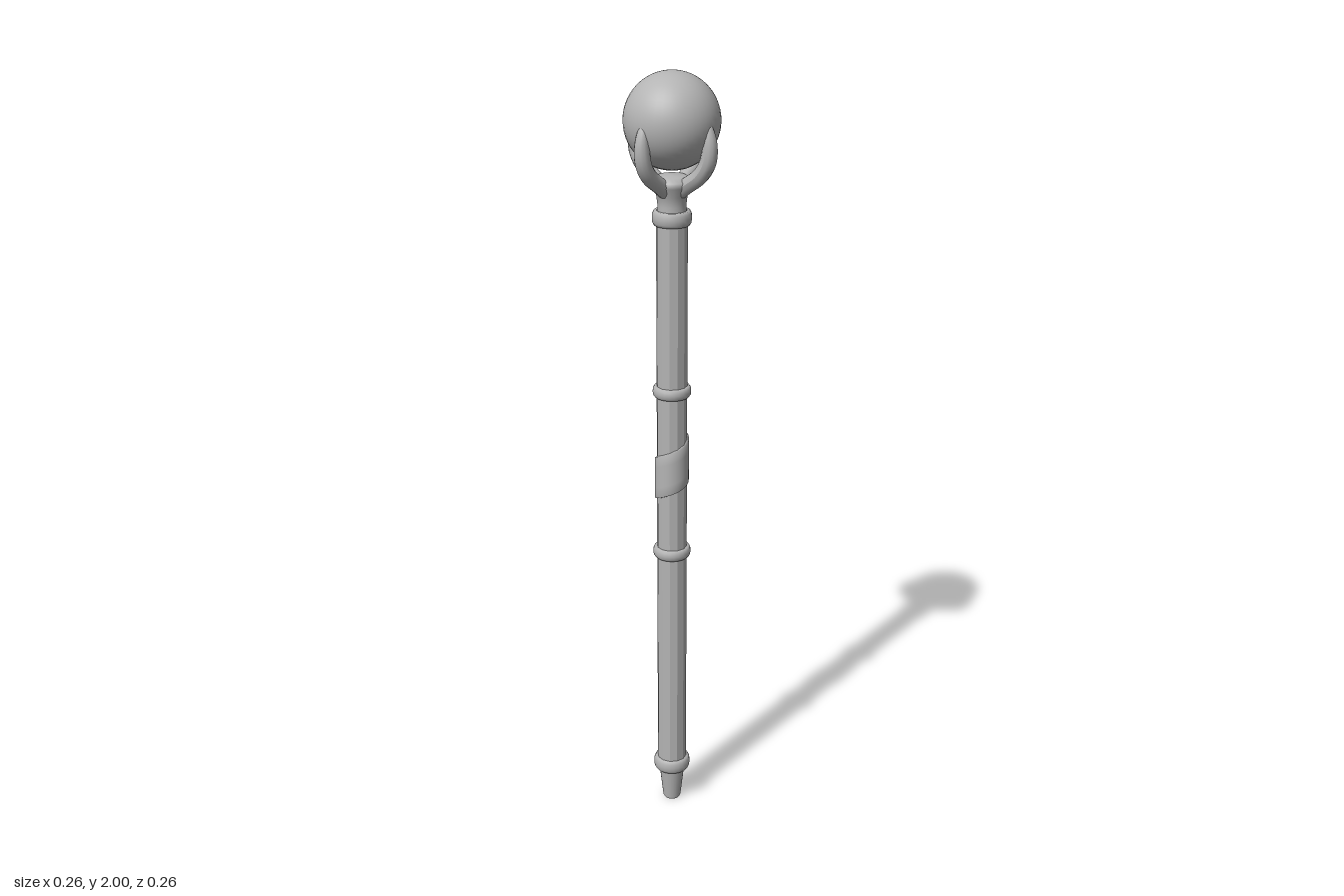
import * as THREE from 'three';

export function createModel() {
  const grey = new THREE.MeshStandardMaterial({ color: 0xb4b4b4, side: THREE.DoubleSide });
  grey.name = 'stone grey';
  const model = new THREE.Group();
  model.name = 'staff';

  const add = (name, geometry, y = 0) => {
    const mesh = new THREE.Mesh(geometry, grey);
    mesh.name = name;
    mesh.position.y = y;
    model.add(mesh);
    return mesh;
  };
  const lathe = (points, sides = 24) =>
    new THREE.LatheGeometry(points.map(([r, y]) => new THREE.Vector2(r, y)), sides);

  // Faceted wooden shaft
  const shaft = new THREE.CylinderGeometry(0.039, 0.039, 1.55, 12, 1).toNonIndexed();
  shaft.computeVertexNormals();
  add('shaft', shaft, 0.885);

  // Tapered foot
  add('foot', lathe([[0, 0], [0.021, 0], [0.021, 0], [0.024, 0.006], [0.034, 0.095], [0.038, 0.12]]));

  // Rounded collars along the shaft
  const collar = (name, y, h) => add(name, lathe([
    [0.037, -h], [0.044, -h], [0.048, -h * 0.6], [0.049, 0],
    [0.048, h * 0.6], [0.044, h], [0.037, h],
  ]), y);
  collar('footCollar', 0.115, 0.018);
  collar('lowerGripCollar', 0.76, 0.014);
  collar('upperGripCollar', 1.205, 0.014);
  collar('headCollar', 1.65, 0.018);

  // Spiral grip wrap: a flat strip wound around the shaft
  const wrap = new THREE.PlaneGeometry(1, 1, 50, 6);
  const p = wrap.attributes.position;
  for (let i = 0; i < p.count; i++) {
    const u = p.getX(i) + 0.5, v = p.getY(i) + 0.5;
    const edge = Math.min(v, 1 - v) < 0.01 || u < 0.001 || u > 0.999;
    const r = edge ? 0.037 : 0.0435;
    // Pull the second and second-last rows out to the rims for crisp edges
    const t = v < 0.01 || v > 0.99 ? v : 0.02 + (v - 1 / 6) * 1.5 * 0.96;
    const a = Math.PI + u * Math.PI * 2.2;
    p.setXYZ(i, Math.sin(a) * r, 0.87 + 0.115 * u + 0.118 * t, Math.cos(a) * r);
  }
  wrap.computeVertexNormals();
  add('gripWrap', wrap);

  // Flared neck under the claws
  add('neck', lathe([[0.037, 1.655], [0.035, 1.68], [0.038, 1.705], [0.05, 1.728],
    [0.052, 1.742], [0.035, 1.752], [0, 1.754]]));

  // Four tapering claws that grip the orb
  const path = new THREE.CatmullRomCurve3([
    [0.015, 1.71], [0.045, 1.733], [0.085, 1.762], [0.107, 1.795], [0.113, 1.835], [0.108, 1.872], [0.1, 1.895],
  ].map(([x, y]) => new THREE.Vector3(x, y, 0)));
  const steps = 24, sides = 12;
  const claw = new THREE.TubeGeometry(path, steps, 0.02, sides, false);
  const c = claw.attributes.position;
  for (let i = 0; i < c.count; i++) {
    const t = Math.floor(i / (sides + 1)) / steps;
    const centre = path.getPointAt(t);
    const k = t < 0.55 ? 1 : Math.sqrt(Math.max(0, 1 - ((t - 0.55) / 0.45) ** 2));
    const q = new THREE.Vector3().fromBufferAttribute(c, i).sub(centre).multiplyScalar(k).add(centre);
    c.setXYZ(i, q.x, q.y, q.z);
  }
  claw.computeVertexNormals();
  ['left', 'back', 'right', 'front'].forEach((side, i) => {
    add(side + 'Claw', claw).rotation.y = i * Math.PI / 2;
  });

  // Orb
  add('orb', new THREE.SphereGeometry(0.117, 40, 28), 1.883);
  return model;
}
